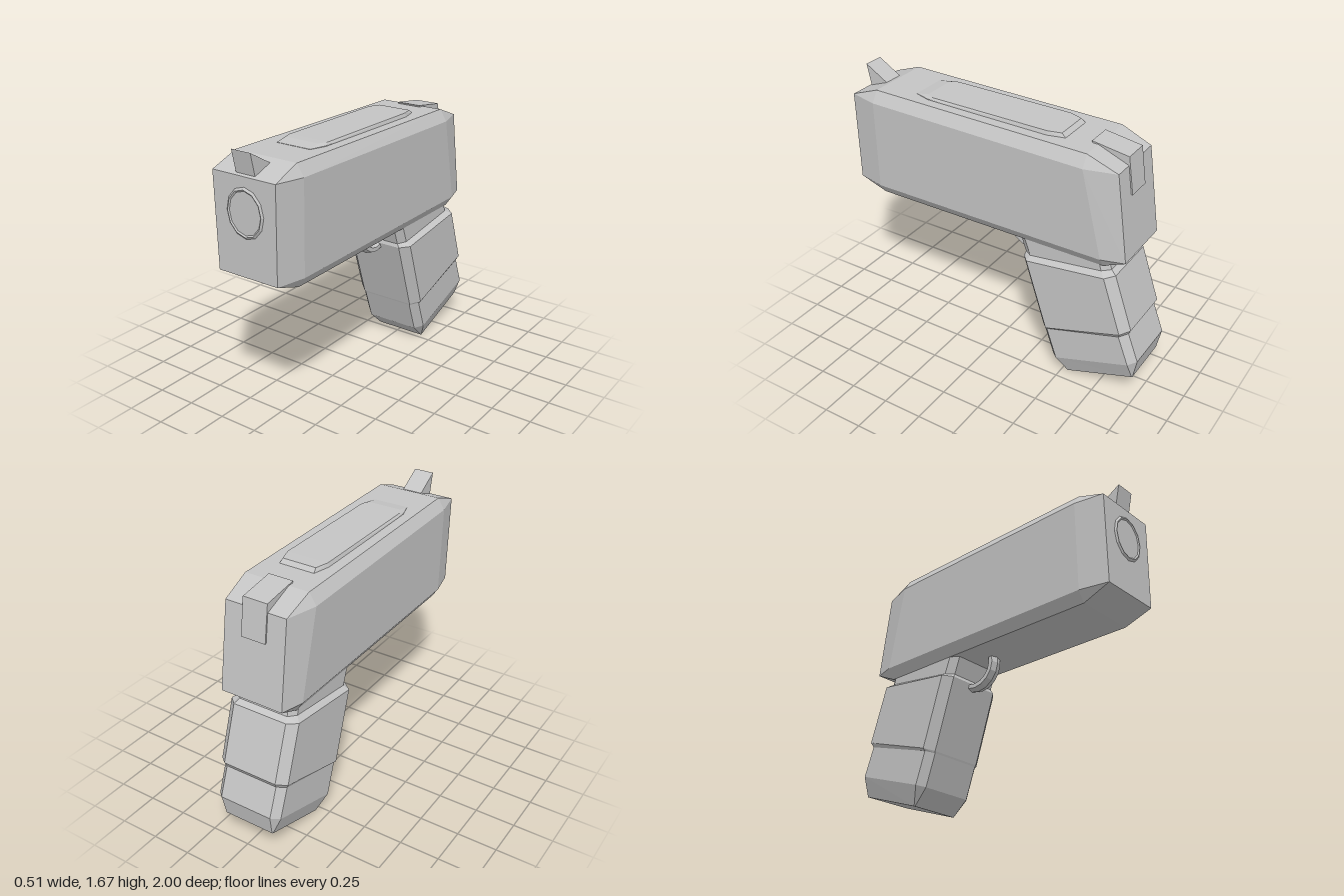
import * as THREE from 'three';
import { ConvexGeometry } from 'three/addons/geometries/ConvexGeometry.js';

const grey = new THREE.MeshStandardMaterial({ color: 0xc4c4c4 });
grey.name = 'plain grey';
grey.flatShading = true;

// Convex solid from [halfWidth, y, z] points, mirrored across x
function mirroredHull(points) {
  const all = [];
  for (const [x, y, z] of points) {
    all.push(new THREE.Vector3(x, y, z), new THREE.Vector3(-x, y, z));
  }
  return new ConvexGeometry(all);
}

// Loft through eight-sided rings: [frontZ, frontY, rearZ, rearY, halfWidth, sideCut, endCut]
function loft(rings) {
  const loops = rings.map(([fz, fy, rz, ry, w, cx, ce]) => {
    const t = ce / Math.hypot(rz - fz, ry - fy);
    const at = (x, s) => [x, fy + (ry - fy) * s, fz + (rz - fz) * s];
    return [
      at(w - cx, 0), at(w, t), at(w, 1 - t), at(w - cx, 1),
      at(cx - w, 1), at(-w, 1 - t), at(-w, t), at(cx - w, 0),
    ];
  });
  const pos = [];
  const tri = (a, b, c) => pos.push(...a, ...b, ...c);
  for (let r = 0; r < loops.length - 1; r++) {
    const a = loops[r], b = loops[r + 1];
    for (let i = 0; i < 8; i++) {
      const j = (i + 1) % 8;
      tri(a[i], b[i], b[j]);
      tri(a[i], b[j], a[j]);
    }
  }
  const end = loops[loops.length - 1];
  for (let i = 1; i < 7; i++) tri(end[0], end[i + 1], end[i]);
  const geo = new THREE.BufferGeometry();
  geo.setAttribute('position', new THREE.Float32BufferAttribute(pos, 3));
  geo.computeVertexNormals();
  return geo;
}

export function createModel() {
  const group = new THREE.Group();
  const add = (name, geo) => {
    const mesh = new THREE.Mesh(geo, grey);
    mesh.name = name;
    group.add(mesh);
    return mesh;
  };

  // Long chamfered upper body with a slanted rear
  add('upperBody', mirroredHull([
    [0.215, 1.535, 0.99], [0.205, 0.96, 0.99],
    [0.255, 1.53, 0.81], [0.245, 0.96, 0.81],
    [0.21, 1.6, 0.81], [0.2, 0.895, 0.81],
    [0.255, 1.503, -0.62], [0.245, 0.96, -0.75],
    [0.21, 1.575, -0.62], [0.2, 0.895, -0.75],
    [0.2, 1.5, -0.81], [0.205, 0.96, -0.89],
  ]));

  // Raised panel on the top
  add('topPanel', mirroredHull([
    [0.115, 1.585, 0.58], [0.145, 1.585, 0.48],
    [0.115, 1.598, 0.58], [0.145, 1.598, 0.48],
    [0.11, 1.61, 0.5], [0.135, 1.61, 0.45],
    [0.135, 1.603, -0.33], [0.11, 1.6, -0.41],
    [0.145, 1.575, -0.33], [0.115, 1.575, -0.44],
  ]));

  // Wedge at the front of the top
  add('frontSight', mirroredHull([
    [0.065, 1.675, 1.0], [0.065, 1.542, 0.972],
    [0.065, 1.585, 0.85], [0.065, 1.53, 0.87],
  ]));

  // Bent cover over the rear edge
  add('rearSight', mirroredHull([
    [0.08, 1.587, -0.58], [0.08, 1.553, -0.81],
    [0.08, 1.325, -0.845], [0.08, 1.34, -0.8], [0.08, 1.55, -0.6],
  ]));

  // Faceted ring and disc on the front face
  const ring = add('frontRing', new THREE.TorusGeometry(0.133, 0.013, 4, 12));
  ring.scale.set(0.87, 1, 0.75);
  ring.position.set(0.002, 1.332, 0.99);
  const disc = add('frontDisc', new THREE.CylinderGeometry(0.13, 0.13, 0.01, 12).rotateX(Math.PI / 2));
  disc.scale.x = 0.87;
  disc.position.set(0.002, 1.332, 0.988);

  // Slanted grip: neck, main section and stepped foot
  add('grip', loft([
    [-0.17, 0.93, -0.77, 0.93, 0.2, 0.035, 0.05],
    [-0.222, 0.785, -0.79, 0.862, 0.2, 0.035, 0.05],
    [-0.215, 0.763, -0.825, 0.84, 0.235, 0.055, 0.05],
    [-0.36, 0.312, -0.945, 0.495, 0.235, 0.055, 0.05],
    [-0.365, 0.3, -0.93, 0.465, 0.22, 0.045, 0.045],
    [-0.435, 0.1, -1.0, 0.283, 0.22, 0.045, 0.045],
    [-0.535, 0.003, -0.975, 0.15, 0.17, 0.004, 0.004],
  ]));

  // Curved guard between the body and the grip
  const start = Math.PI - 0.3;
  const guard = add('guard', new THREE.TorusGeometry(0.135, 0.027, 6, 7, 2.6)
    .rotateZ(start).rotateY(Math.PI / 2));
  guard.scale.x = 1.65;
  guard.position.set(0, 0.87, -0.175);

  return group;
}
